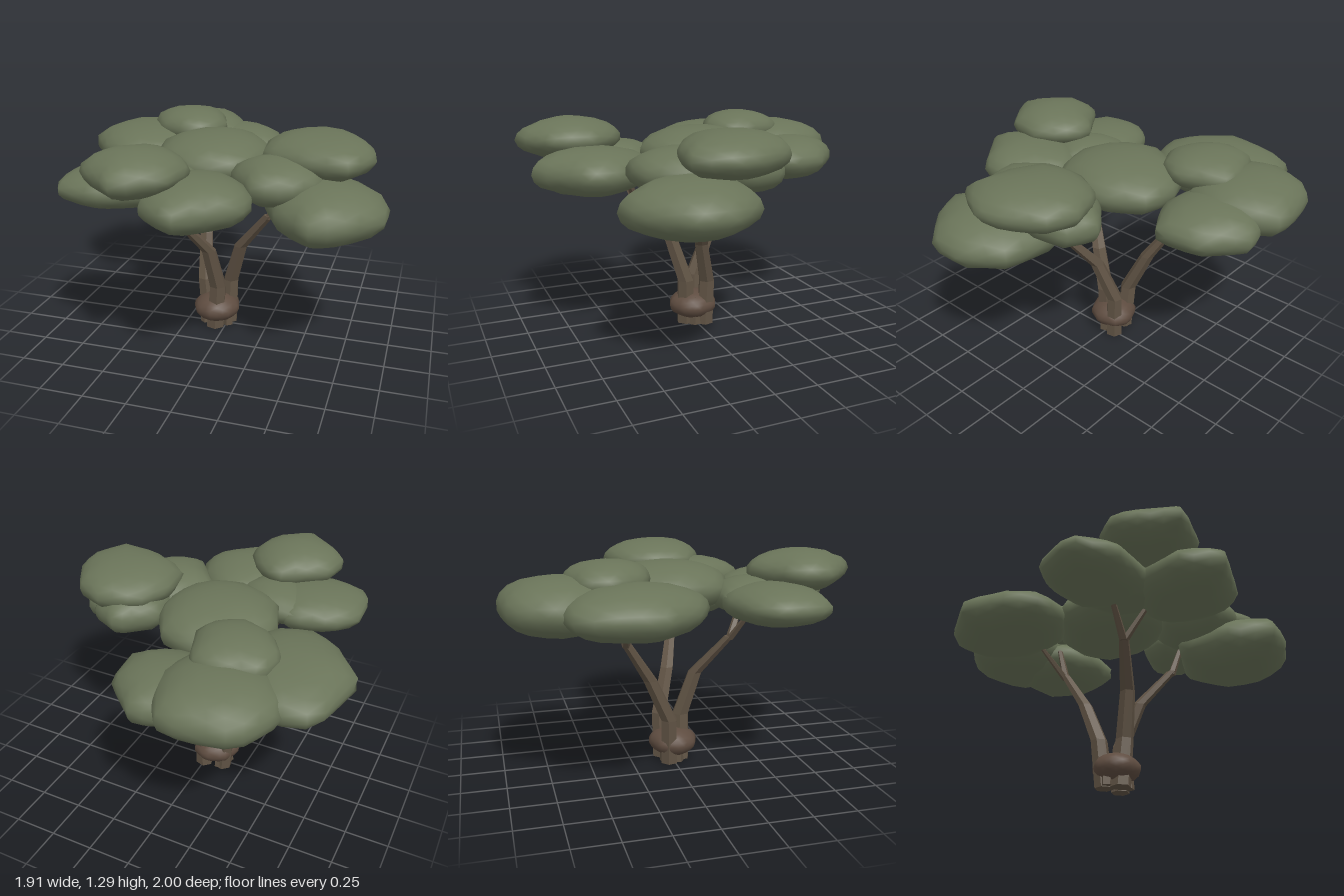
import * as THREE from 'three';
import { mergeVertices } from 'three/addons/utils/BufferGeometryUtils.js';

const mat = (name, color) => {
  const m = new THREE.MeshStandardMaterial({ color });
  m.name = name;
  return m;
};

// Distance from centre (cx, cz) to a convex plan outline in direction (dx, dz)
function reach(outline, cx, cz, dx, dz) {
  let best = Infinity;
  outline.forEach(([ax, az], i) => {
    const [bx, bz] = outline[(i + 1) % outline.length];
    const ex = bx - ax, ez = bz - az;
    const det = dx * ez - dz * ex;
    if (Math.abs(det) < 1e-9) return;
    const t = ((ax - cx) * ez - (az - cz) * ex) / det;
    if (t > 0) best = Math.min(best, t);
  });
  return best;
}

// Smooth cushion between two heights whose widest section follows a plan outline;
// a higher power gives blunter sides
function lump(bottom, top, outline, power = 2.1) {
  let g = new THREE.IcosahedronGeometry(1, 3);
  g.deleteAttribute('normal');
  g.deleteAttribute('uv');
  g = mergeVertices(g, 1e-3);
  const xs = outline.map((q) => q[0]), zs = outline.map((q) => q[1]);
  const cx = (Math.min(...xs) + Math.max(...xs)) / 2;
  const cz = (Math.min(...zs) + Math.max(...zs)) / 2;
  const p = g.attributes.position;
  for (let i = 0; i < p.count; i++) {
    const x = p.getX(i), y = p.getY(i), z = p.getZ(i);
    const h = Math.hypot(x, z) || 1e-6;
    const full = Math.pow(Math.pow(h, power) + Math.pow(Math.abs(y), power), -1 / power);
    const r = h > 1e-4 ? reach(outline, cx, cz, x / h, z / h) * full : 0;
    p.setXYZ(i, cx + x * r, (bottom + top) / 2 + y * full * (top - bottom) / 2, cz + z * r);
  }
  g.computeVertexNormals();
  return g;
}

// Faceted tapering limb through [x, y, z, radius] points
function limb(points, sides = 6) {
  const pos = [], idx = [];
  for (const [x, y, z, r] of points) {
    for (let j = 0; j < sides; j++) {
      const a = (j / sides) * Math.PI * 2 + 0.3;
      pos.push(x + Math.cos(a) * r, y, z + Math.sin(a) * r);
    }
  }
  for (let i = 0; i < points.length - 1; i++) {
    for (let j = 0; j < sides; j++) {
      const a = i * sides + j, b = i * sides + (j + 1) % sides;
      idx.push(a, a + sides, b, b, a + sides, b + sides);
    }
  }
  // End caps
  const last = (points.length - 1) * sides;
  for (let j = 1; j < sides - 1; j++) {
    idx.push(0, j, j + 1, last, last + j + 1, last + j);
  }
  let g = new THREE.BufferGeometry();
  g.setAttribute('position', new THREE.Float32BufferAttribute(pos, 3));
  g.setIndex(idx);
  g = g.toNonIndexed();
  g.computeVertexNormals();
  return g;
}

export function createModel() {
  const tree = new THREE.Group();
  tree.name = 'tree';
  const leaf = mat('leafGreen', 0x6a7459);
  const bark = mat('barkBrown', 0x615445);
  const knot = mat('knotBrown', 0x5e4c40);

  const add = (geometry, material, name) => {
    const mesh = new THREE.Mesh(geometry, material);
    mesh.name = name;
    tree.add(mesh);
  };

  // Three leaning stems, each with the tips of its branches
  const stems = [
    {
      name: 'rightStem',
      path: [[0, 0, -0.05, 0.055], [0.01, 0.28, -0.06, 0.05], [0.09, 0.54, 0.01, 0.043], [0.28, 0.78, 0.09, 0.03]],
      tips: [[0.36, 0.99, 0.1]],
    },
    {
      name: 'frontStem',
      path: [[-0.06, 0, 0.05, 0.06], [-0.04, 0.28, 0.06, 0.053], [-0.07, 0.54, 0.14, 0.045], [-0.2, 0.78, 0.31, 0.03]],
      tips: [[-0.1, 0.98, 0.42], [-0.34, 0.97, 0.4]],
    },
    {
      name: 'backStem',
      path: [[-0.12, 0, -0.03, 0.055], [-0.15, 0.28, -0.04, 0.05], [-0.18, 0.54, -0.16, 0.043], [-0.24, 0.78, -0.31, 0.03]],
      tips: [[-0.4, 0.95, -0.34], [-0.26, 0.98, -0.37]],
    },
  ];
  for (const { name, path, tips } of stems) {
    add(limb(path), bark, name);
    const [x, y, z] = path[path.length - 1];
    for (const [tx, ty, tz] of tips) {
      add(limb([[x, y - 0.02, z, 0.026], [tx, ty, tz, 0.016]], 5), bark, name + 'Branch');
    }
  }

  // Short strands that thicken the foot
  for (let i = 0; i < 5; i++) {
    const a = i * 1.257 + 0.3, c = Math.cos(a), s = Math.sin(a);
    add(limb([[-0.06 + c * 0.075, 0.005, s * 0.065, 0.035],
      [-0.06 + c * 0.07, 0.18, s * 0.06, 0.028]], 5), bark, 'root');
  }

  // Swollen knot around the foot
  add(lump(0.025, 0.205, [[-0.21, 0.02], [-0.16, -0.1], [-0.04, -0.145], [0.05, -0.1],
    [0.085, 0.02], [0.04, 0.11], [-0.06, 0.155], [-0.16, 0.12]], 1.9), knot, 'knot');

  // Flat leaf clumps: bottom, top, plan outline as [x, z], bluntness
  const clump = (...args) => add(lump(...args), leaf, 'leafClump');

  // Back cluster
  clump(0.89, 1.2, [[-0.64, -0.9], [-0.55, -0.97], [-0.33, -1.005], [-0.19, -0.99], [-0.1, -0.82],
    [-0.05, -0.66], [-0.12, -0.45], [-0.4, -0.38], [-0.65, -0.5], [-0.73, -0.7]]);
  clump(0.86, 1.13, [[-0.04, -0.95], [0.18, -0.75], [0.21, -0.5], [0, -0.37], [-0.25, -0.38],
    [-0.42, -0.6], [-0.35, -0.85]]);
  clump(0.9, 1.18, [[-0.965, -0.27], [-0.89, -0.63], [-0.82, -0.7], [-0.6, -0.72], [-0.38, -0.55],
    [-0.28, -0.25], [-0.4, -0.02], [-0.6, 0.06], [-0.78, -0.03]]);
  clump(1.05, 1.27, [[-0.57, -0.59], [-0.33, -0.67], [-0.2, -0.64], [-0.11, -0.38],
    [-0.17, -0.25], [-0.31, -0.18], [-0.5, -0.25], [-0.61, -0.42]]);

  // Centre
  clump(0.92, 1.22, [[-0.28, -0.33], [-0.07, -0.41], [0.11, -0.36], [0.23, -0.17], [0.255, 0],
    [0.17, 0.25], [-0.08, 0.33], [-0.34, 0.23], [-0.44, -0.05]]);

  // Right cluster
  clump(1.03, 1.28, [[0.26, 0.21], [0.23, -0.02], [0.33, -0.22], [0.55, -0.29], [0.72, -0.22],
    [0.84, -0.02], [0.87, 0.12], [0.76, 0.35], [0.5, 0.33]]);
  clump(0.92, 1.17, [[0.23, -0.15], [0.43, -0.33], [0.62, -0.24], [0.66, 0], [0.45, 0.12], [0.25, 0.05]]);
  clump(0.92, 1.18, [[0.09, 0.28], [0.2, 0.04], [0.4, -0.01], [0.58, 0.1], [0.62, 0.34], [0.47, 0.51], [0.28, 0.53]]);
  clump(0.75, 1.08, [[0.4, 0.51], [0.26, 0.2], [0.5, -0.07], [0.8, -0.03], [0.96, 0.18],
    [0.96, 0.4], [0.77, 0.6], [0.61, 0.68]], 1.95);

  // Front cluster
  clump(0.9, 1.13, [[-0.78, 0.38], [-0.66, 0.25], [-0.42, 0.18], [-0.2, 0.3], [-0.18, 0.6],
    [-0.5, 0.74], [-0.72, 0.69], [-0.77, 0.6]]);
  clump(0.92, 1.14, [[-0.48, 0.38], [-0.46, 0.2], [-0.2, 0.18], [-0.03, 0.35], [-0.1, 0.6], [-0.35, 0.62]]);
  clump(0.88, 1.15, [[-0.05, 0.29], [0.08, 0.3], [0.23, 0.42], [0.32, 0.6], [0.3, 0.73],
    [0, 0.99], [-0.2, 0.85], [-0.28, 0.6], [-0.2, 0.4]]);
  clump(1.04, 1.29, [[-0.25, 0.37], [-0.1, 0.46], [0, 0.62], [-0.04, 0.83], [-0.27, 1.01],
    [-0.48, 0.84], [-0.56, 0.75], [-0.53, 0.57]], 1.9);

  return tree;
}
